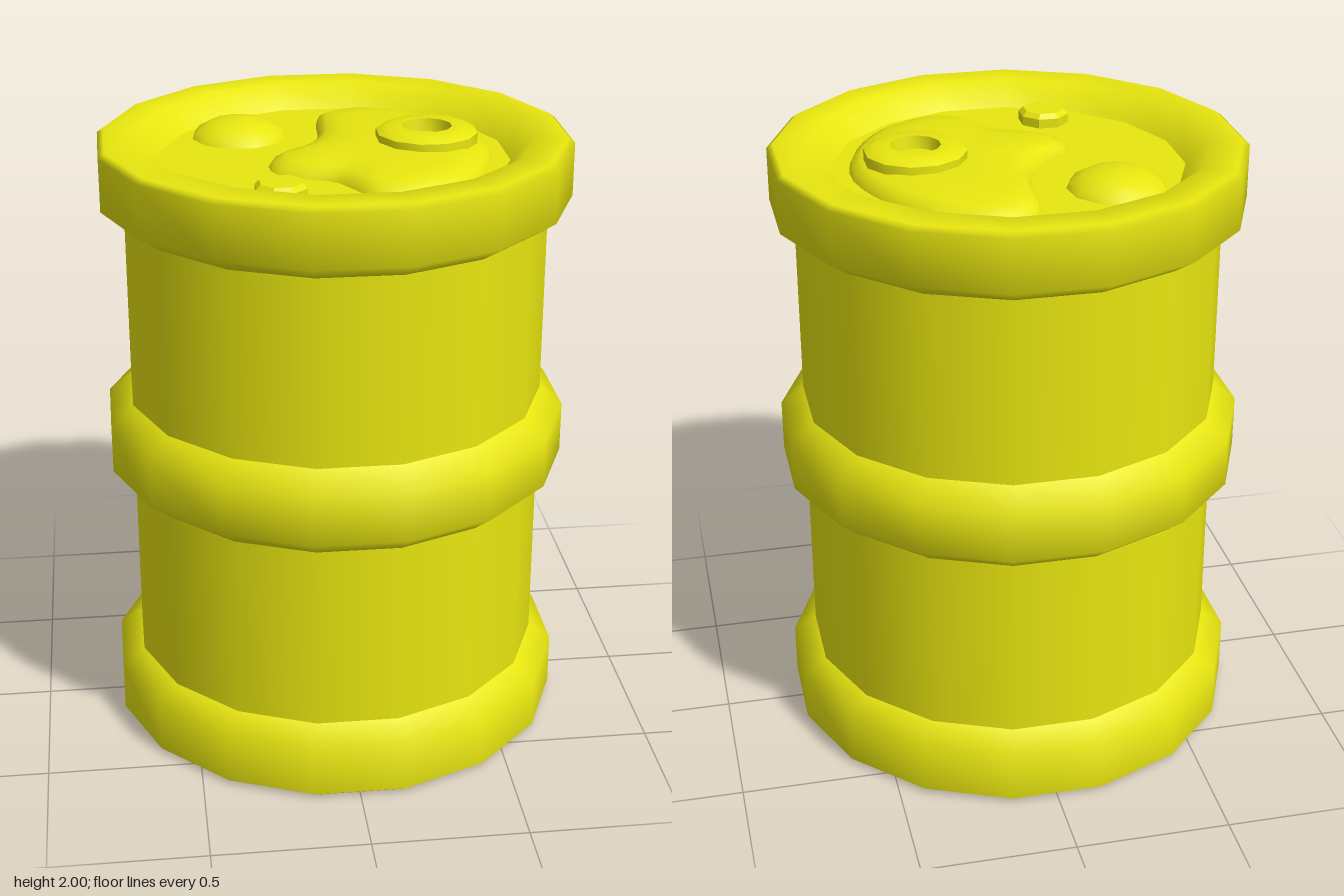
import * as THREE from 'three';
import { toCreasedNormals } from 'three/addons/utils/BufferGeometryUtils.js';

const SIDES = 16;
const HALF = Math.PI / SIDES; // half a side, so flats face the axes
const LID = 1.91;

export function createModel() {
  const barrel = new THREE.Group();
  barrel.name = 'barrel';
  const paint = new THREE.MeshStandardMaterial({ color: 0xe8e60f });

  const add = (name, geometry, x = 0, y = 0, z = 0) => {
    const mesh = new THREE.Mesh(geometry, paint);
    mesh.name = name;
    mesh.position.set(x, y, z);
    barrel.add(mesh);
    return mesh;
  };
  // Profile points are [radius, y], running up the outside
  const lathe = (profile, sides = SIDES) => new THREE.LatheGeometry(
    profile.map(([r, y]) => new THREE.Vector2(r, y)), sides, Math.PI / sides);

  // Straight drum wall
  add('drumWall', lathe([[0.68, 0.2], [0.68, 1.8]]));

  // Rims and middle hoop
  const rim = [[0.68, 1.75], [0.755, 1.8], [0.755, 1.97], [0.735, 1.985], [0.63, 1.985], [0.556, LID]];
  add('topRim', lathe(rim));
  add('bottomRim', lathe(rim.map(([r, y]) => [r, 1.985 - y]).reverse()));
  add('middleHoop', lathe([[0.68, 0.855], [0.755, 0.915], [0.755, 1.08], [0.68, 1.14]]));

  // Lid and floor discs
  const disc = () => new THREE.CircleGeometry(0.557, SIDES, HALF);
  add('lid', disc().rotateX(-Math.PI / 2), 0, LID, 0);
  add('floor', disc().rotateX(Math.PI / 2), 0, 1.985 - LID, 0);

  // Spilled puddle and drop on the lid
  add('puddle', puddleGeometry(), 0.2, LID, 0);
  add('drop', lathe([[0.155, 0], [0.14, 0.022], [0.1, 0.045], [0.05, 0.057], [0, 0.06]], 11), -0.28, LID, -0.26);

  // Filler ring with a sunken hole
  const ring = lathe([[0.162, 1.93], [0.162, 1.983], [0.13, 2], [0.08, 2], [0.072, 1.95], [0, 1.95]], 12);
  add('fillerRing', toCreasedNormals(ring, 0.6), 0.295, 0, 0);

  // Small plug
  const plug = lathe([[0.083, 0], [0.083, 0.03], [0.068, 0.045], [0, 0.045]], 8);
  add('plug', toCreasedNormals(plug, 0.5), -0.203, LID, 0.385);

  return barrel;
}

// Low dome over a closed outline, made of rings shrinking to its centre
function puddleGeometry() {
  const outline = [
    [0.12, -0.48], [0, -0.42], [-0.02, -0.34], [-0.03, -0.2], [-0.06, -0.1], [-0.13, 0], [-0.21, 0.07],
    [-0.2, 0.17], [-0.12, 0.23], [-0.03, 0.27], [0.02, 0.35], [0.07, 0.43], [0.17, 0.46], [0.28, 0.42],
    [0.37, 0.34], [0.46, 0.19], [0.5, 0], [0.46, -0.17], [0.38, -0.31], [0.27, -0.42],
  ].map(([x, z]) => new THREE.Vector3(x - 0.2, 0, z));
  const n = 48;
  const loop = new THREE.CatmullRomCurve3(outline, true).getPoints(n).slice(0, n);
  const rings = [[1, 0], [0.97, 0.02], [0.88, 0.037], [0.7, 0.047], [0.4, 0.05], [0, 0.05]];
  const positions = [], index = [];
  rings.forEach(([scale, y], r) => loop.forEach((p, i) => {
    positions.push(p.x * scale, y, p.z * scale);
    if (r === 0) return;
    const j = (i + 1) % n, a = (r - 1) * n + i, b = (r - 1) * n + j;
    index.push(a, b, r * n + j, a, r * n + j, r * n + i);
  }));
  const geometry = new THREE.BufferGeometry();
  geometry.setAttribute('position', new THREE.Float32BufferAttribute(positions, 3));
  geometry.setIndex(index);
  return toCreasedNormals(geometry, 1.2);
}
